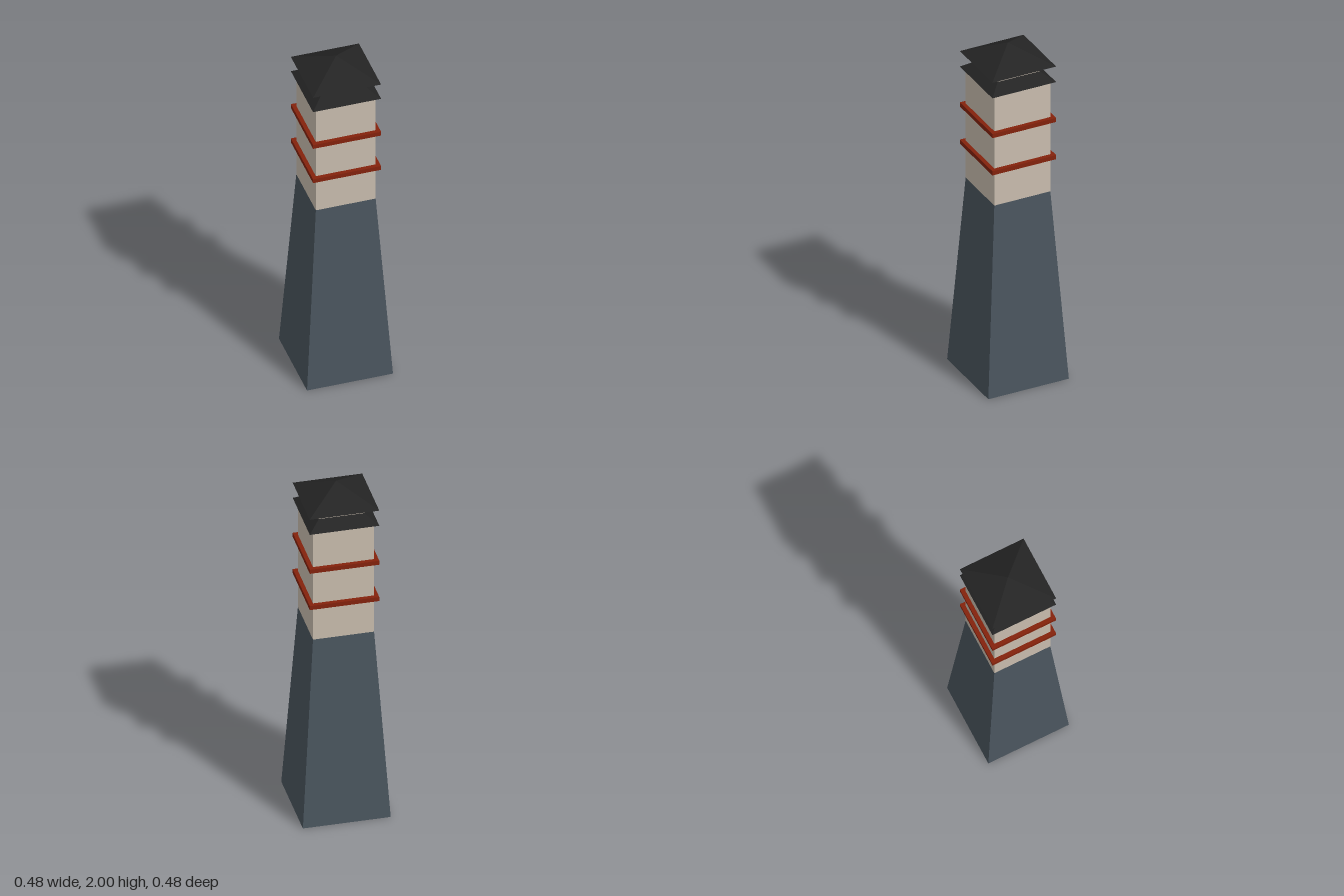
import * as THREE from 'three';

const material = (name, color, side = THREE.FrontSide) => {
  const m = new THREE.MeshStandardMaterial({ color, side, flatShading: true });
  m.name = name;
  return m;
};

export function createModel() {
  const slate = material('slate', 0x4a555e, THREE.DoubleSide);
  const cream = material('cream', 0xc9bdae);
  const rust = material('rust red', 0x84220c);
  const charcoal = material('charcoal', 0x242424);

  const tower = new THREE.Group();
  tower.name = 'tower';

  // Square tapered block, given by its half widths and its bottom and top heights
  const block = (name, mat, bottomHalf, topHalf, y0, y1, open = false) => {
    const geometry = new THREE.CylinderGeometry(
      topHalf * Math.SQRT2, bottomHalf * Math.SQRT2, y1 - y0, 4, 1, open);
    geometry.rotateY(Math.PI / 4);
    geometry.translate(0, (y0 + y1) / 2, 0);
    const mesh = new THREE.Mesh(geometry, mat);
    mesh.name = name;
    tower.add(mesh);
  };

  // Hollow sloping base and straight upper shaft
  block('base', slate, 0.24, 0.167, 0, 1.13, true);
  block('shaft', cream, 0.167, 0.167, 1.13, 1.808);

  // Projecting trim bands
  [1.345, 1.573].forEach((y, i) =>
    block(`trimBand${i + 1}`, rust, 0.19, 0.19, y - 0.0125, y + 0.0125));

  // Two-tier roof with a narrow neck between
  block('lowerRoof', charcoal, 0.19, 0.125, 1.805, 1.855);
  block('neck', cream, 0.125, 0.125, 1.855, 1.9);
  block('upperRoof', charcoal, 0.19, 0, 1.9, 2);

  return tower;
}
